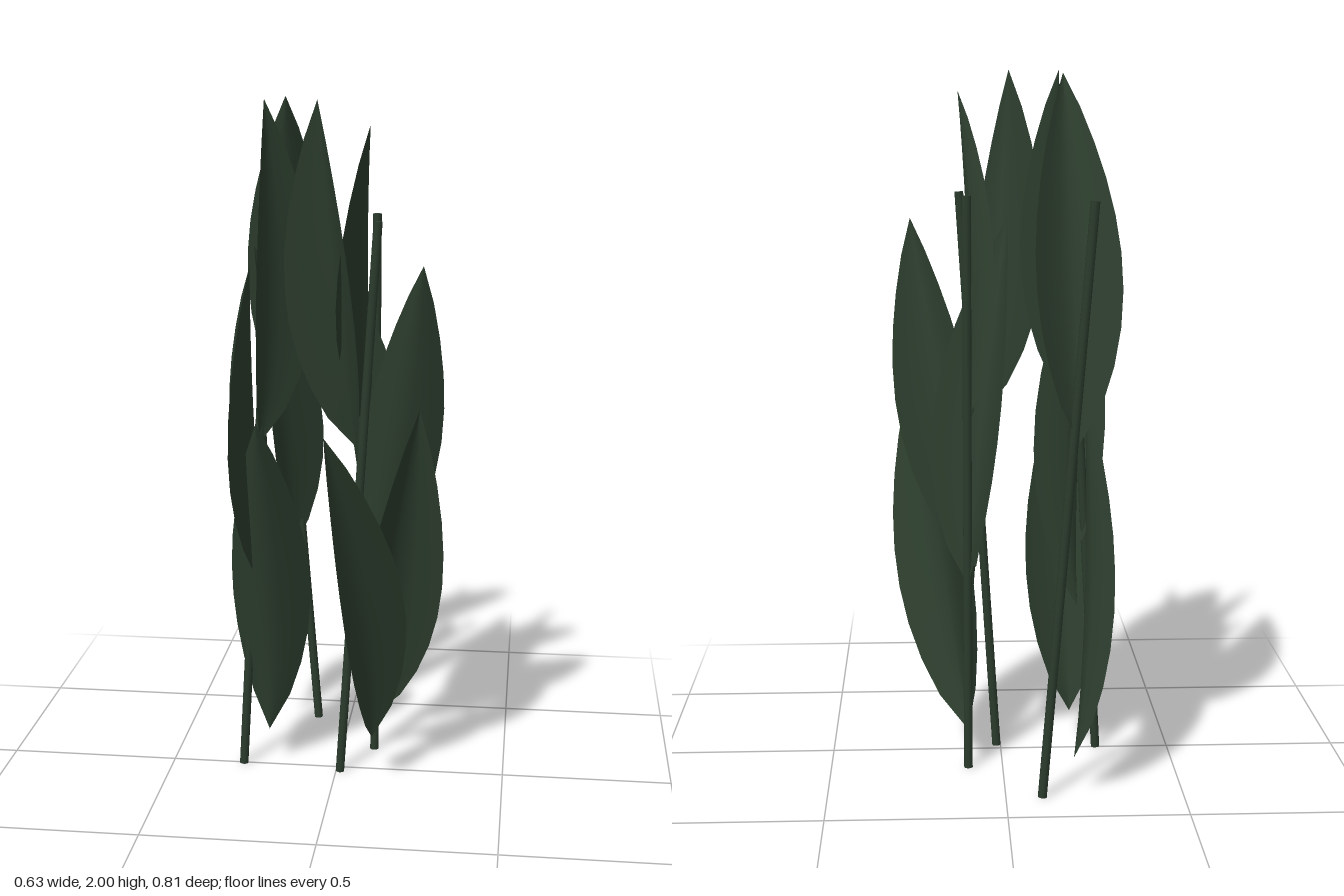
import * as THREE from 'three';

const leafGreen = new THREE.MeshStandardMaterial({ color: 0x2d3e2e, side: THREE.DoubleSide });
leafGreen.name = 'leaf green';
const stemGreen = new THREE.MeshStandardMaterial({ color: 0x2b3b2c });
stemGreen.name = 'stem green';

const HALF_WIDTH = 0.118, CUP = 0.075, BOW = 0.018;
const ROWS = 10, COLS = 6;

// Pointed blade from base to tip, its edges cupped towards the compass angle it faces
function leafGeometry(base, tip, degrees) {
  const a = THREE.MathUtils.degToRad(degrees);
  const facing = new THREE.Vector3(Math.sin(a), 0, Math.cos(a));
  const across = new THREE.Vector3(Math.cos(a), 0, -Math.sin(a));
  // keep the blade square to its own midrib
  const chord = tip.clone().sub(base).normalize();
  across.addScaledVector(chord, -across.dot(chord)).normalize();
  facing.addScaledVector(chord, -facing.dot(chord)).normalize();

  const geometry = new THREE.PlaneGeometry(1, 1, COLS, ROWS);
  const pos = geometry.attributes.position;
  const p = new THREE.Vector3();
  for (let i = 0; i < pos.count; i++) {
    const u = pos.getX(i) * 2;
    const s = pos.getY(i) + 0.5;
    const swell = Math.pow(Math.max(0, Math.sin(Math.PI * Math.pow(s, 0.85))), 0.87);
    p.lerpVectors(base, tip, s)
      .addScaledVector(across, u * HALF_WIDTH * swell)
      .addScaledVector(facing, (BOW + CUP * Math.pow(Math.abs(u), 1.35)) * swell);
    pos.setXYZ(i, p.x, p.y, p.z);
  }
  geometry.computeVertexNormals();
  return geometry;
}

// Each plant: stem foot and top x, depth, then leaves as [base x, base y, tip x, y, z, facing]
const plants = [
  { foot: -0.102, top: -0.234, z: -0.366, leaves: [
    [-0.19, 0.115, -0.23, 1.13, -0.135, -92],
    [-0.195, 0.555, -0.25, 1.57, -0.087, 60],
    [-0.198, 1.01, -0.163, 1.99, -0.14, 188] ] },
  { foot: -0.285, top: -0.19, z: 0.003, leaves: [
    [-0.205, 0.115, -0.195, 1.13, 0.26, 175],
    [-0.195, 0.555, -0.2, 1.57, 0.29, -82],
    [-0.225, 1.01, -0.175, 2.0, 0.175, 55] ] },
  { foot: 0.012, top: 0.118, z: 0.028, leaves: [
    [0.108, 0.115, 0.008, 1.13, 0.39, 52],
    [0.072, 0.555, 0.26, 1.57, 0.236, 162],
    [0.06, 1.01, -0.03, 2.0, 0.19, -32] ] },
  { foot: 0.1, top: 0.1, z: -0.143, leaves: [
    [0.1, 0.115, 0.25, 1.16, 0.17, 20],
    [0.1, 0.555, -0.018, 1.59, -0.02, 141],
    [0.105, 1.01, 0.117, 1.94, 0.243, -92] ] },
];

export function createModel() {
  const model = new THREE.Group();
  model.name = 'leafyPlants';
  const HEIGHT = 1.66;

  for (const { foot, top, z, leaves } of plants) {
    const plant = new THREE.Group();
    plant.name = 'plant';

    // Thin leaning stem
    const stem = new THREE.Mesh(
      new THREE.CylinderGeometry(0.013, 0.013, Math.hypot(HEIGHT, top - foot), 10), stemGreen);
    stem.name = 'stem';
    stem.position.set((foot + top) / 2, HEIGHT / 2, z);
    stem.rotation.z = -Math.atan2(top - foot, HEIGHT);
    plant.add(stem);

    // Low, middle and high leaf
    leaves.forEach(([bx, by, tx, ty, tz, facing], i) => {
      const leaf = new THREE.Mesh(
        leafGeometry(new THREE.Vector3(bx, by, z), new THREE.Vector3(tx, ty, tz), facing), leafGreen);
      leaf.name = ['lowLeaf', 'middleLeaf', 'highLeaf'][i];
      plant.add(leaf);
    });
    model.add(plant);
  }
  return model;
}
